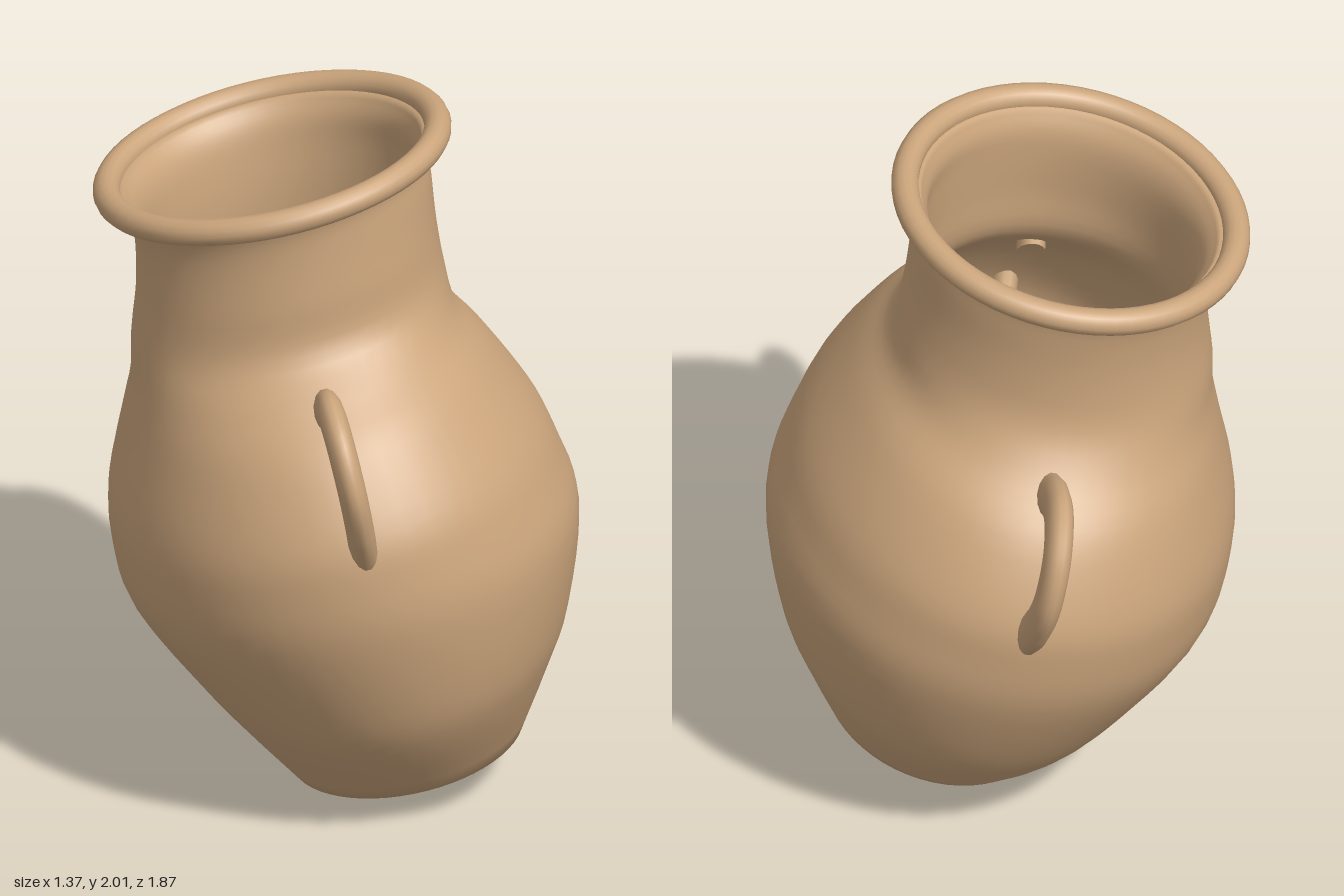
import * as THREE from 'three';

const clay = new THREE.MeshStandardMaterial({ color: 0xcba57c });
clay.name = 'clay';

// Oval sections of the outer wall: height, centre x, centre z, radius x, radius z
const sections = [
  [0, 0, 0, 0.335, 0.4],
  [0.2, 0, -0.005, 0.455, 0.59],
  [0.36, 0, -0.01, 0.545, 0.69],
  [0.62, -0.02, -0.015, 0.65, 0.78],
  [0.8, -0.035, -0.015, 0.648, 0.795],
  [0.95, -0.04, -0.015, 0.615, 0.775],
  [1.15, -0.045, -0.01, 0.53, 0.67],
  [1.28, -0.055, 0, 0.472, 0.54],
  [1.4, -0.045, -0.01, 0.455, 0.445],
  [1.55, -0.02, 0, 0.435, 0.43],
  [1.69, 0, 0, 0.43, 0.43],
  [1.77, 0, 0, 0.437, 0.44],
  [1.83, 0, 0, 0.47, 0.47],
];

// Resample the sections along smooth curves
function smoothSections(rows, count) {
  const spline = (pick) =>
    new THREE.CatmullRomCurve3(rows.map((r) => new THREE.Vector3(...pick(r))), false, 'catmullrom', 0.5);
  const centres = spline((r) => [r[1], r[0], r[2]]);
  const radii = spline((r) => [r[3], r[4], 0]);
  return Array.from({ length: count + 1 }, (_, i) => {
    const c = centres.getPoint(i / count);
    const r = radii.getPoint(i / count);
    return [c.y, c.x, c.z, r.x, r.y];
  });
}

// Skin a list of oval sections, wrapping round without a seam
function loft(rows, sides) {
  const positions = [];
  const index = [];
  rows.forEach(([h, cx, cz, rx, rz], i) => {
    for (let j = 0; j < sides; j++) {
      const a = (j / sides) * Math.PI * 2;
      positions.push(cx + rx * Math.cos(a), h, cz + rz * Math.sin(a));
      if (i === rows.length - 1) continue;
      const p = i * sides + j;
      const q = i * sides + ((j + 1) % sides);
      index.push(p, p + sides, q, q, p + sides, q + sides);
    }
  });
  const geometry = new THREE.BufferGeometry();
  geometry.setAttribute('position', new THREE.Float32BufferAttribute(positions, 3));
  geometry.setIndex(index);
  geometry.computeVertexNormals();
  return geometry;
}

export function createModel() {
  const model = new THREE.Group();
  model.name = 'jar';

  // Everything is built upright, then leaned over
  const pot = new THREE.Group();
  pot.name = 'leaningPot';
  pot.position.set(0.19, 0.073, 0.1);
  pot.quaternion.setFromUnitVectors(
    new THREE.Vector3(0, 1, 0),
    new THREE.Vector3(-0.2, 0.977, -0.07).normalize()
  );
  model.add(pot);

  const add = (name, geometry) => {
    const mesh = new THREE.Mesh(geometry, clay);
    mesh.name = name;
    pot.add(mesh);
    return mesh;
  };

  // Hollow body: base, outer wall, inner wall and floor
  const wall = 0.035;
  const outer = smoothSections(sections, 48);
  const inner = outer
    .filter((r) => r[0] > 0.06)
    .reverse()
    .map(([h, cx, cz, rx, rz]) => [h, cx, cz, rx - wall, rz - wall]);
  const floor = inner[inner.length - 1][0];
  add('body', loft([[0, 0, 0, 0, 0], ...outer, ...inner, [floor, 0, 0, 0, 0]], 56));

  // Rolled rim
  const rim = add('rim', new THREE.TorusGeometry(0.48, 0.039, 14, 64));
  rim.rotation.x = Math.PI / 2;
  rim.position.y = 1.835;

  // Flattened loop handles, front and back
  const path = new THREE.CatmullRomCurve3(
    [
      [1.235, 0.506], [1.3, 0.62], [1.317, 0.722], [1.264, 0.819],
      [1.138, 0.857], [1.008, 0.811], [0.92, 0.745], [0.895, 0.72],
    ].map(([h, z]) => new THREE.Vector3(0, h, z))
  );
  const loop = new THREE.TubeGeometry(path, 36, 0.065, 14).scale(0.62, 1, 1);
  add('frontHandle', loop).position.x = -0.035;
  const back = add('backHandle', loop);
  back.rotation.y = Math.PI;
  back.position.set(-0.035, 0, -0.035);

  return model;
}
